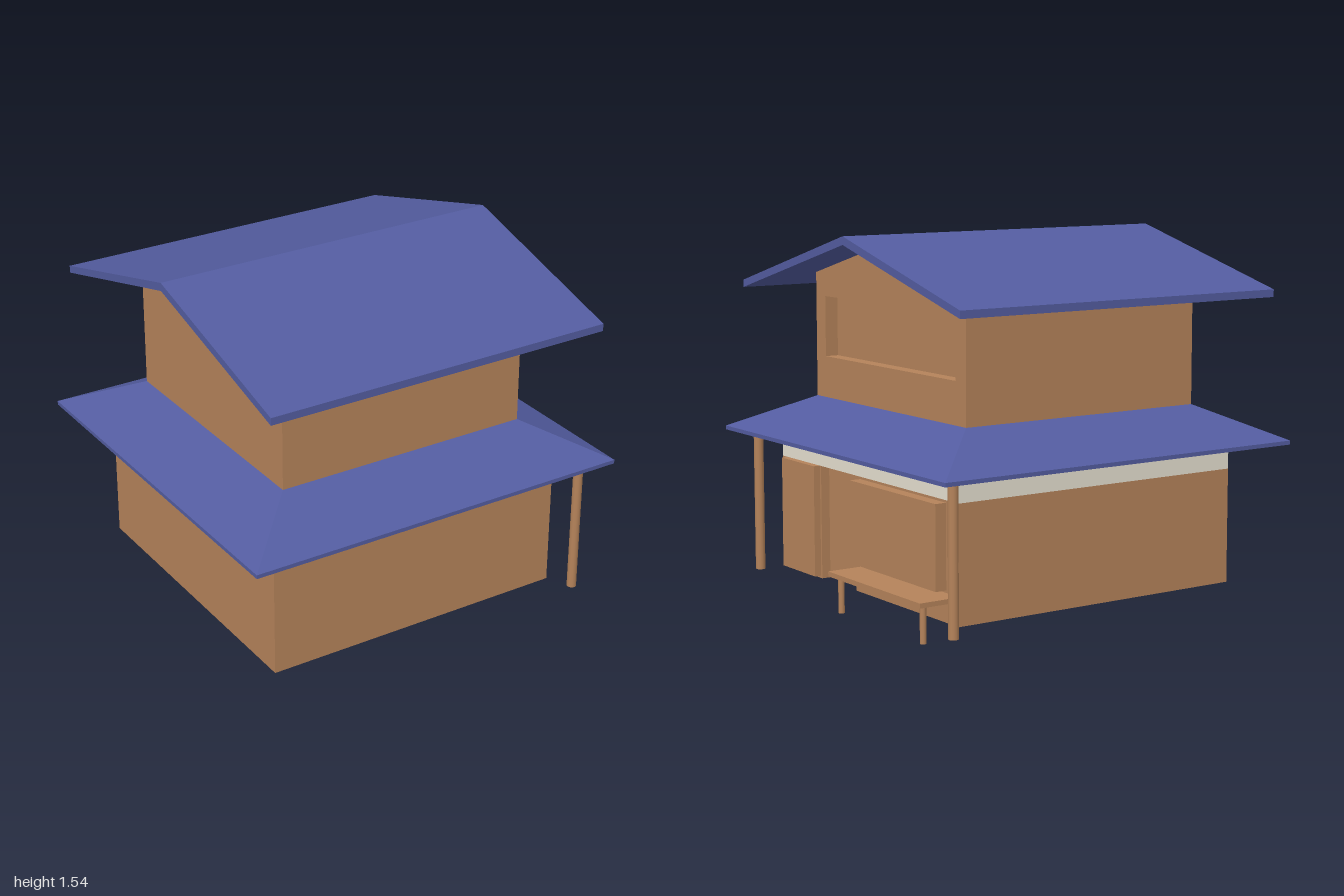
import * as THREE from 'three';

const brown = new THREE.MeshStandardMaterial({ color: 0xb5835a });
const blue = new THREE.MeshStandardMaterial({ color: 0x535ca0 });
const cream = new THREE.MeshStandardMaterial({ color: 0xe6e0d0 });

export function createModel() {
  const house = new THREE.Group();
  house.name = 'house';
  house.rotation.y = -0.1614; // the house stands slightly turned

  const add = (name, geometry, material) => {
    const mesh = new THREE.Mesh(geometry, material);
    mesh.name = name;
    house.add(mesh);
    return mesh;
  };
  // Box given by its limits on each axis
  const block = (name, x0, x1, y0, y1, z0, z1, material = brown) =>
    add(name, new THREE.BoxGeometry(x1 - x0, y1 - y0, z1 - z0), material)
      .position.set((x0 + x1) / 2, (y0 + y1) / 2, (z0 + z1) / 2);
  // Cross-section in x and y, extruded from z0 to z1
  const prism = (name, points, z0, z1, material, hole) => {
    const shape = new THREE.Shape(points.map(p => new THREE.Vector2(...p)));
    if (hole) shape.holes.push(new THREE.Path(hole.map(p => new THREE.Vector2(...p))));
    const geometry = new THREE.ExtrudeGeometry(shape, { depth: z1 - z0, bevelEnabled: false });
    add(name, geometry.translate(0, 0, z0), material);
  };
  const leg = (name, x, z, r, y0, y1) =>
    add(name, new THREE.CylinderGeometry(r, r, y1 - y0, 12), brown).position.set(x, (y0 + y1) / 2, z);

  // Ground floor, with a doorway set into the back wall
  const w = 0.688;
  block('lowerBody', -w, w, 0.05, 0.54, -w + 0.04, w);
  block('backWallRight', -w, 0.08, 0.05, 0.54, -w, -w + 0.04);
  block('backWallLeft', 0.36, w, 0.05, 0.54, -w, -w + 0.04);
  block('plasterBand', -w, w, 0.54, 0.73, -w, w, cream);

  // Slid-open door and window box on the back
  block('slidingDoor', 0.37, 0.645, 0.06, 0.54, -w - 0.03, -w);
  block('windowBox', -0.6, 0.04, 0.18, 0.53, -w - 0.05, -w);

  // Bench under the window
  block('benchSeat', -0.69, 0, 0.15, 0.17, -0.87, -w);
  for (const x of [-0.658, -0.045]) leg('benchLeg', x, -0.835, 0.013, 0, 0.15);

  // Posts carrying the back corners of the skirt roof
  for (const s of [-1, 1]) leg('porchPost', s * 0.766, -0.766, 0.021, 0.03, 0.69);

  // Four-sided skirt roof
  const d = Math.SQRT2;
  const profile = [[0.56, 0.79], [0.871, 0.65], [0.871, 0.667], [0.575, 0.812], [0, 0.812]]
    .map(([r, y]) => new THREE.Vector2(r * d, y));
  const skirt = new THREE.LatheGeometry(profile, 4, Math.PI / 4).toNonIndexed();
  skirt.computeVertexNormals();
  add('skirtRoof', skirt, blue);

  // Upper floor with gables and a wide recessed window at the back
  const u = 0.575;
  const gable = [[-u, 0.8], [u, 0.8], [u, 1.35], [0, 1.507], [-u, 1.35]];
  const opening = [[-0.5, 0.99], [-0.5, 1.25], [0.5, 1.25], [0.5, 0.99]];
  prism('upperBody', gable, -u + 0.06, u, brown);
  prism('backWindowWall', gable, -u, -u + 0.06, brown, opening);

  // Gable roof
  const e = 0.846;
  prism('gableRoof', [[-e, 1.275], [0, 1.505], [e, 1.275], [e, 1.307], [0, 1.54], [-e, 1.307]],
    -0.785, 0.785, blue);

  const model = new THREE.Group();
  model.add(house);
  return model;
}
